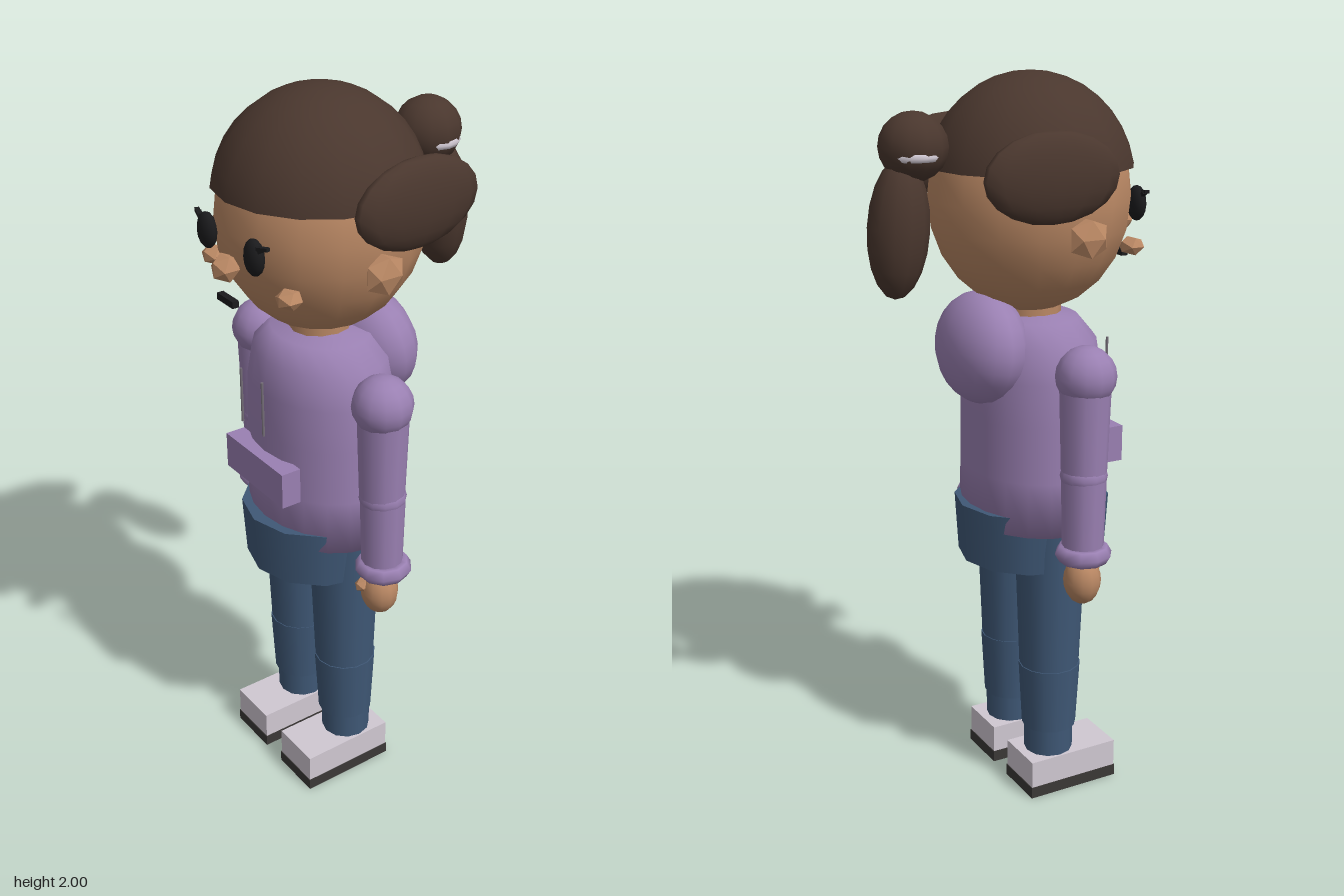
import * as THREE from 'three';

const mat = (name, color, side = THREE.FrontSide) => {
  const m = new THREE.MeshStandardMaterial({ color, side });
  m.name = name;
  return m;
};

export function createModel() {
  const skin = mat('skin', 0xba8864);
  const hair = mat('hair brown', 0x4a372e, THREE.DoubleSide);
  const hoodie = mat('hoodie purple', 0x9a80b2);
  const denim = mat('denim blue', 0x3f5876);
  const white = mat('shoe white', 0xd0c8d2);
  const sole = mat('sole dark', 0x3b3836);
  const black = mat('eye black', 0x1b1b1d);
  const cord = mat('cord grey', 0x77707a);

  const root = new THREE.Group();
  root.name = 'girl';
  const Z = 0.075; // body axis

  const add = (name, geo, material, x, y, z, parent = root) => {
    const m = new THREE.Mesh(geo, material);
    m.name = name;
    m.position.set(x, y, z);
    parent.add(m);
    return m;
  };
  const ball = (name, material, p, r, ws = 16, hs = 12) =>
    add(name, new THREE.SphereGeometry(1, ws, hs).scale(...r), material, ...p);
  const gem = (name, material, p, r) =>
    add(name, new THREE.IcosahedronGeometry(1, 0).scale(...r), material, ...p);
  const box = (name, material, p, s) => add(name, new THREE.BoxGeometry(...s), material, ...p);
  // Tapered round section between two heights
  const tube = (name, material, x, z, y0, y1, r0, r1, segs = 12) =>
    add(name, new THREE.CylinderGeometry(r1, r0, y1 - y0, segs), material, x, (y0 + y1) / 2, z);

  // Head and neck
  ball('head', skin, [0, 1.68, 0.07], [0.266, 0.303, 0.27]);
  tube('neck', skin, 0, Z, 1.28, 1.46, 0.082, 0.08);
  gem('nose', skin, [0, 1.597, 0.35], [0.038, 0.038, 0.04]);
  box('mouth', black, [0, 1.511, 0.347], [0.072, 0.018, 0.018]);

  // Hair cap, bun, hair tie and ponytail
  add('hairCap', new THREE.SphereGeometry(1, 16, 8, 0, Math.PI * 2, 0, Math.PI * 0.44)
    .scale(0.279, 0.293, 0.279), hair, 0, 1.707, 0.07);
  ball('hairBun', hair, [0, 1.825, -0.263], [0.088, 0.088, 0.09], 12, 10);
  const tie = add('hairTie', new THREE.TorusGeometry(0.078, 0.012, 6, 16).rotateX(Math.PI / 2),
    white, 0, 1.805, -0.268);
  tie.scale.z = 0.85;
  const tail = ball('ponytail', hair, [0, 1.622, -0.308], [0.08, 0.178, 0.08], 12, 10);
  tail.rotation.x = 0.08;

  // Torso: rounded shoulders, oval section
  const profile = [[0, 0.8], [0.232, 0.8], [0.228, 0.95], [0.226, 1.1], [0.222, 1.22],
    [0.205, 1.31], [0.15, 1.365], [0, 1.385]].map(([r, y]) => new THREE.Vector2(r, y));
  add('hoodieBody', new THREE.LatheGeometry(profile, 20).scale(1, 1, 0.805), hoodie, 0, 0, Z);
  const hood = ball('hood', hoodie, [0, 1.29, -0.075], [0.175, 0.15, 0.11]);
  hood.rotation.x = 0.1;
  box('pocket', hoodie, [0, 1.003, 0.262], [0.27, 0.1, 0.056]);

  // Hips
  const hips = tube('hips', denim, 0, 0.08, 0.685, 0.85, 0.206, 0.216, 12);
  hips.scale.x = 0.985;

  for (const s of [1, -1]) {
    const side = s > 0 ? 'left' : 'right';

    // Face
    gem(side + 'Ear', skin, [s * 0.282, 1.61, 0.08], [0.032, 0.056, 0.06]);
    gem(side + 'Cheek', skin, [s * 0.17, 1.557, 0.28], [0.038, 0.026, 0.035]);
    ball(side + 'Eye', black, [s * 0.107, 1.656, 0.334], [0.035, 0.047, 0.022], 12, 8);
    [[0.137, 1.682, 0.5], [0.146, 1.69, 0.15]].forEach(([x, y, tilt], i) => {
      const lash = box(side + 'Lash' + (i + 1), black, [s * x, y, 0.334], [0.034, 0.009, 0.012]);
      lash.rotation.set(0, s * 0.3, s * tilt);
    });
    const lock = ball(side + 'HairLock', hair, [s * 0.273, 1.765, -0.02], [0.045, 0.114, 0.186], 14, 10);
    lock.rotation.y = s * 0.04;

    // Drawstring
    tube(side + 'Drawstring', cord, s * 0.05, 0.288, 1.13, 1.285, 0.004, 0.004, 6);

    // Arm
    ball(side + 'Shoulder', hoodie, [s * 0.28, 1.257, 0.08], [0.08, 0.08, 0.08], 12, 10);
    tube(side + 'UpperArm', hoodie, s * 0.281, 0.078, 0.99, 1.25, 0.06, 0.068);
    ball(side + 'Elbow', hoodie, [s * 0.282, 0.99, 0.077], [0.063, 0.05, 0.063], 12, 8);
    tube(side + 'Forearm', hoodie, s * 0.283, 0.077, 0.77, 0.99, 0.055, 0.06);
    add(side + 'Cuff', new THREE.TorusGeometry(0.052, 0.025, 6, 10).rotateX(Math.PI / 2),
      hoodie, s * 0.288, 0.775, 0.076);
    ball(side + 'Hand', skin, [s * 0.278, 0.693, 0.08], [0.053, 0.068, 0.05], 12, 10);
    gem(side + 'Thumb', skin, [s * 0.26, 0.715, 0.122], [0.022, 0.02, 0.024]);

    // Leg
    tube(side + 'Thigh', denim, s * 0.113, 0.077, 0.37, 0.8, 0.084, 0.1, 14);
    tube(side + 'Calf', denim, s * 0.114, 0.077, 0.19, 0.38, 0.077, 0.087, 14);
    tube(side + 'Ankle', denim, s * 0.115, 0.075, 0.1, 0.2, 0.069, 0.07);

    // Shoe
    box(side + 'Shoe', white, [s * 0.115, 0.0725, 0.118], [0.148, 0.079, 0.272]);
    box(side + 'Sole', sole, [s * 0.115, 0.0165, 0.118], [0.152, 0.033, 0.276]);
  }
  return root;
}
